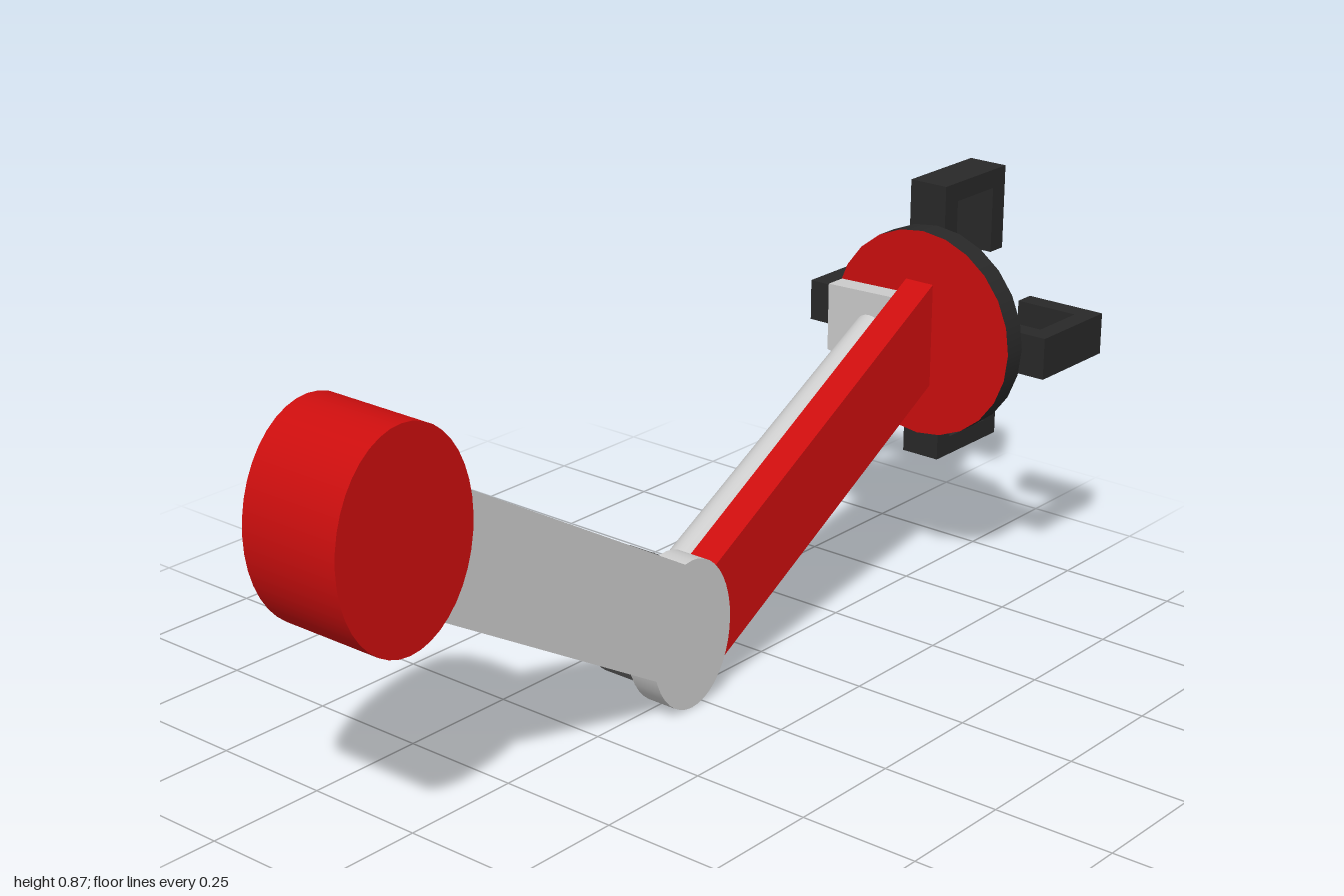
import * as THREE from 'three';

const mat = (color) => new THREE.MeshStandardMaterial({ color, side: THREE.DoubleSide });

export function createModel() {
  const model = new THREE.Group();
  const grey = mat(0xcccccc), darkGrey = mat(0x6a6a6a), red = mat(0xcc0e0e), black = mat(0x282828);

  const add = (name, geometry, material, parent = model) => {
    const mesh = new THREE.Mesh(geometry, material);
    mesh.name = name;
    parent.add(mesh);
    return mesh;
  };
  // Flat plate with an outline in x/y, between two z values
  const plate = (name, points, z0, z1, material, parent) => {
    const shape = new THREE.Shape(points.map(([x, y]) => new THREE.Vector2(x, y)));
    const geo = new THREE.ExtrudeGeometry(shape, { depth: z1 - z0, bevelEnabled: false });
    return add(name, geo.translate(0, 0, z0), material, parent);
  };
  // Oval drum whose axis runs along z
  const drum = (name, x, y, rx, ry, z0, z1, material) => {
    const geo = new THREE.CylinderGeometry(1, 1, z1 - z0, 40).rotateX(Math.PI / 2);
    return add(name, geo.scale(rx, ry, 1).translate(x, y, (z0 + z1) / 2), material);
  };
  // Round rod between two points
  const rod = (name, a, b, radius) => {
    const from = new THREE.Vector3(...a), to = new THREE.Vector3(...b);
    const mesh = add(name, new THREE.CylinderGeometry(radius, radius, from.distanceTo(to), 24), grey);
    mesh.position.copy(from).add(to).multiplyScalar(0.5);
    mesh.quaternion.setFromUnitVectors(new THREE.Vector3(0, 1, 0), to.clone().sub(from).normalize());
  };
  // Solid between a back and a front outline of equal corner count (counter-clockwise);
  // the faces listed in accents use the second material
  const loft = (name, back, zBack, front, zFront, materials, accents = []) => {
    const pos = [], geo = new THREE.BufferGeometry(), n = back.length;
    const B = (i) => [...back[i % n], zBack], F = (i) => [...front[i % n], zFront];
    const quad = (a, b, c, d, face) => {
      geo.addGroup(pos.length / 3, 6, accents.includes(face) ? 1 : 0);
      pos.push(...a, ...b, ...c, ...a, ...c, ...d);
    };
    for (let i = 0; i < n; i++) quad(B(i), B(i + 1), F(i + 1), F(i), i);
    quad(B(3), B(2), B(1), B(0), 4);
    quad(F(0), F(1), F(2), F(3), 5);
    geo.setAttribute('position', new THREE.Float32BufferAttribute(pos, 3));
    geo.computeVertexNormals();
    add(name, geo, materials);
  };

  // Shoulder and upper arm
  drum('shoulder', -0.837, 0.626, 0.163, 0.212, -0.123, 0.102, red);
  plate('upperArm', [[-0.86, 0.505], [-0.1, 0.07], [-0.01, 0.284], [-0.75, 0.713]], -0.01, 0.057, grey);
  plate('upperArmBackPanel', [[-0.86, 0.52], [-0.1, 0.085], [-0.01, 0.269], [-0.75, 0.698]], -0.014, -0.005, red);
  loft('shoulderBracket',
    [[-0.82, 0.43], [-0.695, 0.43], [-0.585, 0.62], [-0.705, 0.765]], -0.122,
    [[-0.82, 0.48], [-0.695, 0.43], [-0.585, 0.62], [-0.75, 0.713]], -0.008,
    [red, grey], [2]);

  // Elbow and forearm
  drum('elbow', -0.037, 0.157, 0.116, 0.157, -0.01, 0.057, grey);
  drum('elbowInnerDisc', -0.037, 0.157, 0.1, 0.135, -0.015, 0.05, red);
  drum('elbowRearDrum', -0.03, 0.154, 0.1, 0.133, -0.135, -0.01, darkGrey);
  plate('forearm', [[-0.03, 0.02], [0.745, 0.46], [0.745, 0.68], [-0.03, 0.24]], -0.014, 0.054, red);

  // Piston rods behind the arms
  rod('upperPiston', [-0.66, 0.537, -0.068], [-0.03, 0.158, -0.068], 0.052);
  rod('lowerPiston', [-0.03, 0.155, -0.073], [0.71, 0.556, -0.073], 0.043);
  loft('wristBracket',
    [[0.69, 0.495], [0.738, 0.495], [0.738, 0.64], [0.69, 0.64]], -0.18,
    [[0.69, 0.46], [0.738, 0.46], [0.738, 0.645], [0.69, 0.645]], -0.012,
    [grey, grey]);

  // Wrist disc: dark rim with red faces
  const disc = new THREE.CylinderGeometry(0.221, 0.221, 0.05, 24).rotateZ(-Math.PI / 2);
  add('wristDisc', disc.translate(0.761, 0.564, 0.025), [black, red, red]);

  // Four hooked claws around the wrist axis
  const hook = [[0.786, 0.19], [0.83, 0.19], [0.83, 0.26], [0.957, 0.26],
    [0.957, 0.12], [1, 0.12], [1, 0.3], [0.786, 0.3]];
  for (let i = 0; i < 4; i++) {
    const claw = new THREE.Group();
    claw.name = 'claw' + (i + 1);
    plate('clawHook', hook, -0.044, 0.044, black, claw);
    claw.rotation.x = i * Math.PI / 2;
    claw.position.y = i % 2 ? 0.555 : 0.571;
    model.add(claw);
  }
  return model;
}
